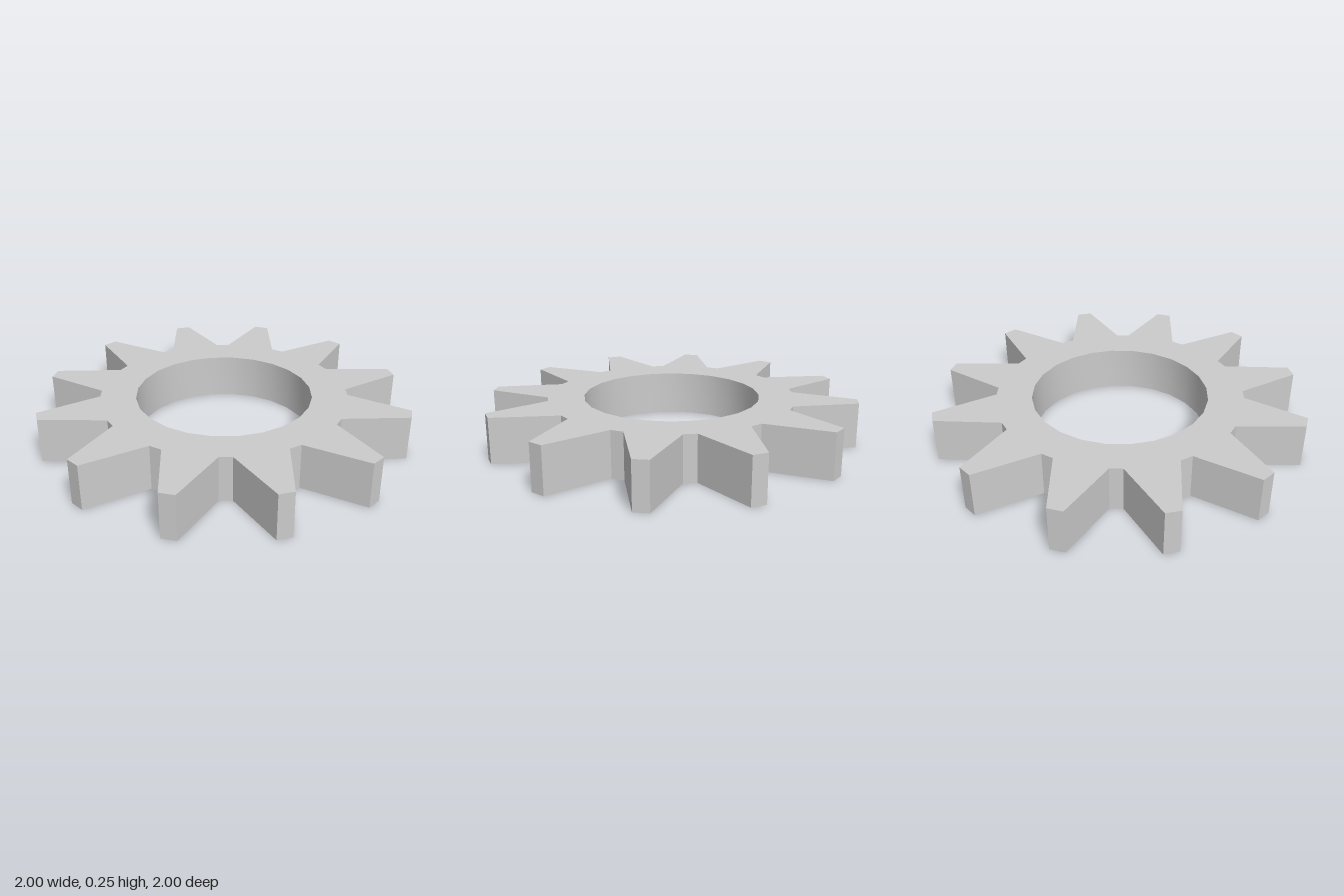
import * as THREE from 'three';
import { toCreasedNormals } from 'three/addons/utils/BufferGeometryUtils.js';

const TEETH = 12;
const HEIGHT = 0.245;
const BORE_RADIUS = 0.477;
const BORE_SIDES = 24;

export function createModel() {
  const group = new THREE.Group();
  group.name = 'gear';

  // One tapered tooth pointing along +x, repeated around the centre
  const tooth = [[0.655, -0.14], [1, -0.04], [1, 0.04], [0.655, 0.14]];
  const outline = [];
  const centre = new THREE.Vector2();
  for (let i = 0; i < TEETH; i++) {
    const angle = (i / TEETH) * Math.PI * 2;
    for (const [x, y] of tooth) {
      outline.push(new THREE.Vector2(x, y).rotateAround(centre, angle));
    }
  }

  // Round bore, with flats facing the axes
  const bore = [];
  for (let i = 0; i < BORE_SIDES; i++) {
    const a = ((i + 0.5) / BORE_SIDES) * Math.PI * 2;
    bore.push(new THREE.Vector2(Math.cos(a), Math.sin(a)).multiplyScalar(BORE_RADIUS));
  }

  const shape = new THREE.Shape(outline);
  shape.holes.push(new THREE.Path(bore));

  // Lay the extrusion flat; the bore is smooth, the teeth stay sharp
  const extruded = new THREE.ExtrudeGeometry(shape, { depth: HEIGHT, bevelEnabled: false });
  extruded.rotateX(-Math.PI / 2);
  const gear = new THREE.Mesh(
    toCreasedNormals(extruded, 0.4),
    new THREE.MeshStandardMaterial({ color: 0xcccccc })
  );
  gear.name = 'toothedRing';
  group.add(gear);
  return group;
}
